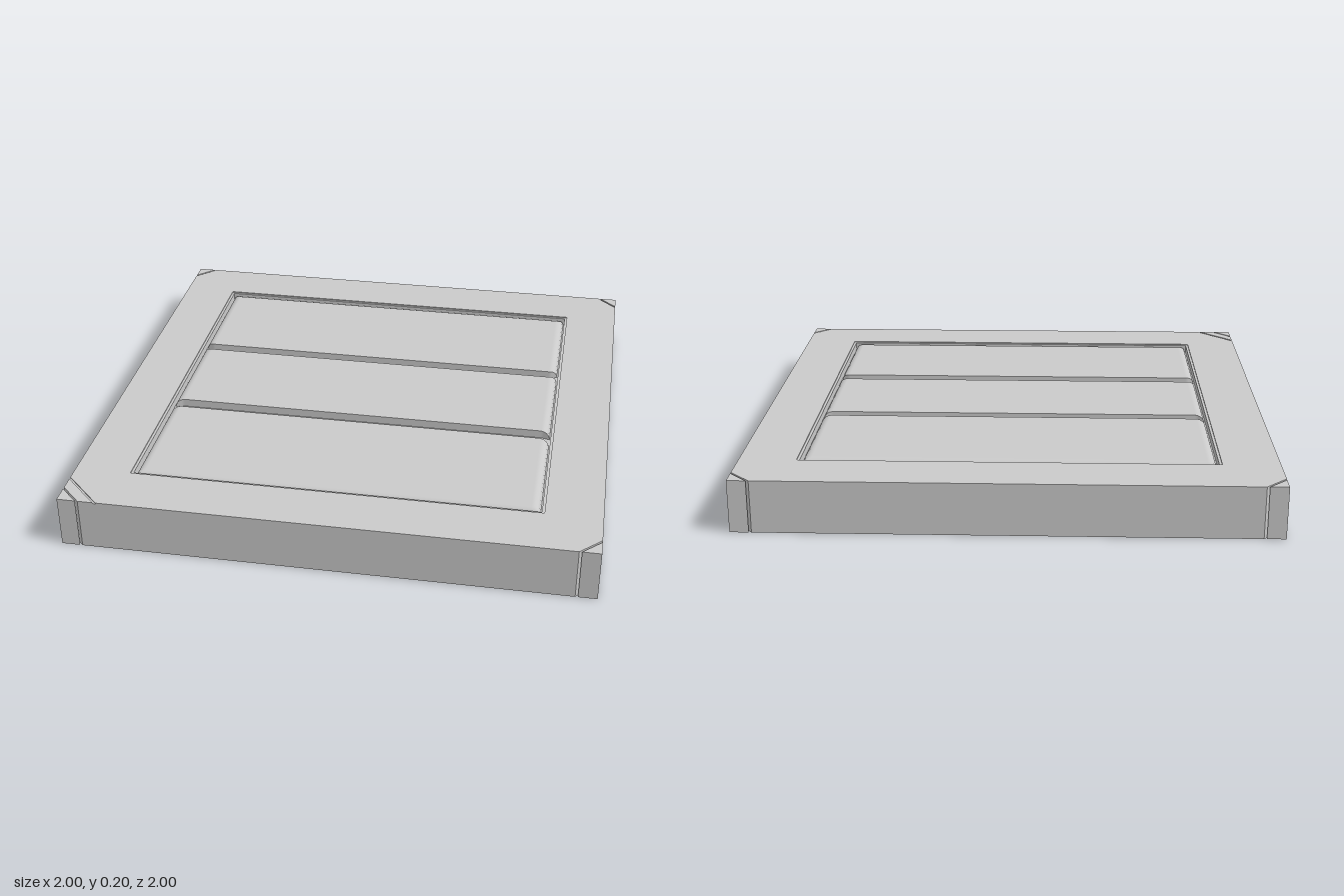
import * as THREE from 'three';

const FLOOR = 0.165, CROWN = 0.197, TOP = 0.2;
const IN = 0.77, ROUND = 0.735; // panel edge and where its rounding starts

// Horizontal outline extruded between two heights (shape y becomes -z)
function slab(name, outline, y0, y1, mat, hole) {
  const shape = new THREE.Shape(outline.map(([x, z]) => new THREE.Vector2(x, -z)));
  if (hole) {
    const h = hole;
    shape.holes.push(new THREE.Path([[-h, -h], [-h, h], [h, h], [h, -h]].map(p => new THREE.Vector2(...p))));
  }
  const geo = new THREE.ExtrudeGeometry(shape, { depth: y1 - y0, bevelEnabled: false });
  geo.rotateX(-Math.PI / 2);
  geo.translate(0, y0, 0);
  const mesh = new THREE.Mesh(geo, mat);
  mesh.name = name;
  return mesh;
}

// Square outline with cut corners; the front corner at -x may be cut deeper
function outline(cut, frontCut = cut) {
  const c = 1 - cut, f = 1 - frontCut;
  return [[-f, 1], [c, 1], [1, c], [1, -c], [c, -1], [-c, -1], [-1, -c], [-1, f]];
}

// Plank with a rounded-over border and ends that flare away from the centre
function plank(name, zs, mat) {
  const xs = [-IN, -0.765, -0.757, -0.747, -ROUND, ROUND, 0.747, 0.757, 0.765, IN];
  const geo = new THREE.BoxGeometry(1, 1, 1, xs.length - 1, 1, zs.length - 1);
  const p = geo.attributes.position;
  const drop = v => {
    const t = Math.max(0, (Math.abs(v) - ROUND) / (IN - ROUND));
    return 1 - Math.sqrt(Math.max(0, 1 - t * t));
  };
  for (let i = 0; i < p.count; i++) {
    const x = xs[Math.round((p.getX(i) + 0.5) * (xs.length - 1))];
    let z = zs[Math.round((p.getZ(i) + 0.5) * (zs.length - 1))];
    const fall = Math.max(drop(x), drop(z));
    const y = p.getY(i) > 0 ? CROWN - (CROWN - FLOOR - 0.004) * fall : FLOOR - 0.005;
    if (Math.abs(z) < 0.5) z *= 1 + 0.045 * Math.max(0, (Math.abs(x) - ROUND) / (IN - ROUND));
    p.setXYZ(i, x, y, z);
  }
  geo.computeVertexNormals();
  const mesh = new THREE.Mesh(geo, mat);
  mesh.name = name;
  return mesh;
}

export function createModel() {
  const model = new THREE.Group();
  model.name = 'panelTile';
  const grey = new THREE.MeshStandardMaterial({ color: 0xcacaca });
  grey.name = 'light grey';

  // Base, raised border and its thin top face with a scored front corner
  model.add(slab('base', outline(0.08), 0, FLOOR, grey));
  model.add(slab('border', outline(0.08), FLOOR, 0.196, grey, 0.775));
  model.add(slab('borderTop', outline(0.08, 0.15), 0.196, TOP, grey, 0.785));
  model.add(slab('cornerBand', [[-1, 0.862], [-0.862, 1], [-0.92, 1], [-1, 0.92]], 0.196, TOP, grey));

  // Corner inserts, separated from the border by a hairline gap
  const corners = new THREE.Group();
  corners.name = 'cornerInserts';
  for (const sx of [-1, 1]) for (const sz of [-1, 1]) {
    const k = 0.93;
    corners.add(slab('cornerInsert', [[sx, sz], [sx * k, sz], [sx, sz * k]], 0, TOP, grey));
  }
  model.add(corners);

  // Three planks separated by two grooves
  const edge = [0.27, ROUND, 0.747, 0.757, 0.765, IN];
  model.add(plank('frontPlank', edge, grey));
  model.add(plank('middlePlank', [-0.225, 0.215], grey));
  model.add(plank('backPlank', edge.map(z => -z).reverse(), grey));
  return model;
}
